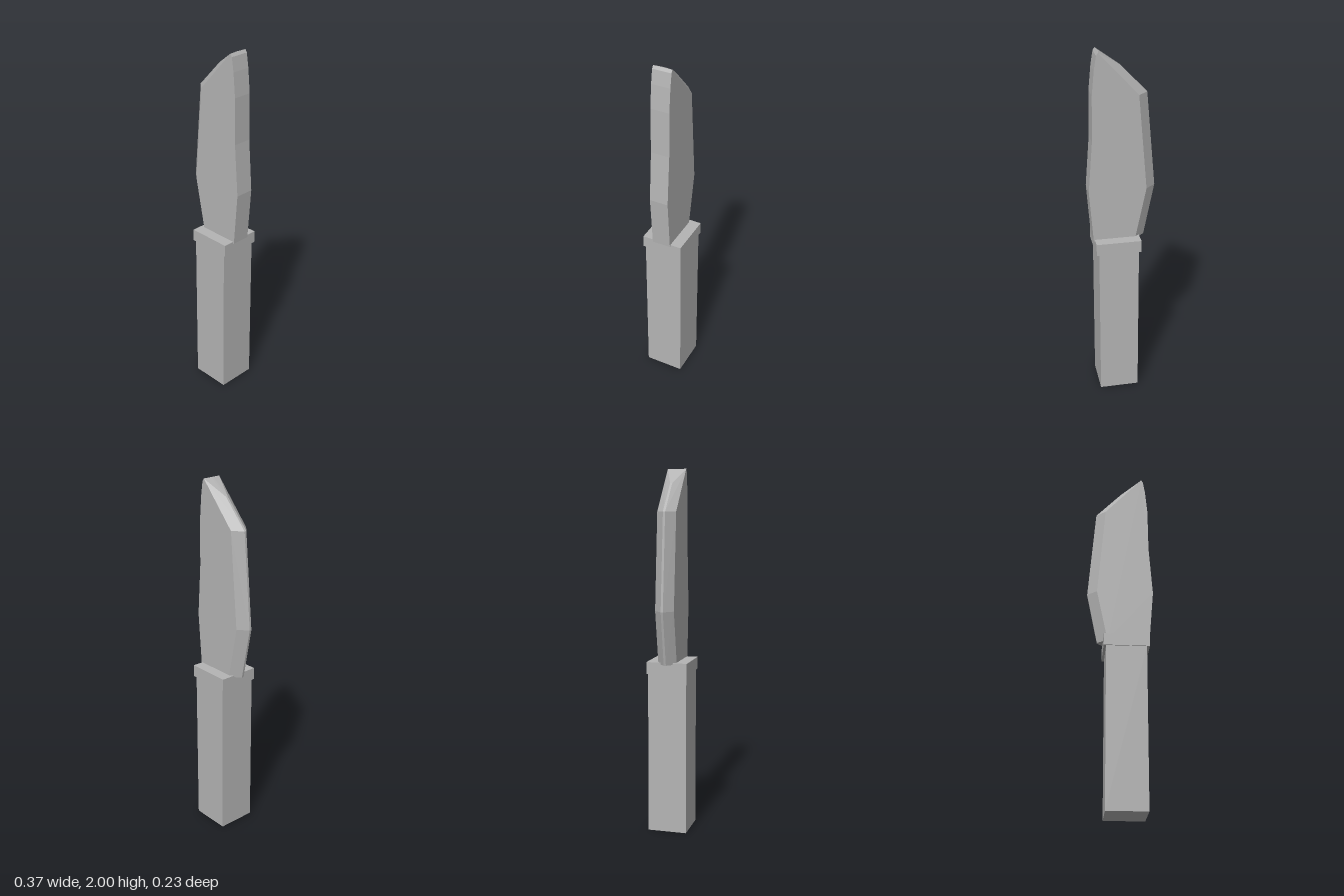
import * as THREE from 'three';

const steel = new THREE.MeshStandardMaterial({ color: 0xb4b4b4 });
steel.name = 'plain grey';
steel.flatShading = true;

// Box given by its limits, centred on z = 0
function block(name, x0, x1, y0, y1, depth) {
  const mesh = new THREE.Mesh(new THREE.BoxGeometry(x1 - x0, y1 - y0, depth), steel);
  mesh.position.set((x0 + x1) / 2, (y0 + y1) / 2, 0);
  mesh.name = name;
  return mesh;
}

function bladeGeometry() {
  const T = 0.052; // half thickness of the body
  const E = 0.006; // half thickness of the cutting edge
  // Border of the flat side, and the cutting edge beside it, from guard to tip
  const border = [[-0.07, 0.95], [-0.13, 1.245], [-0.085, 1.77], [0.125, 2], [0.125, 2]];
  const edge = [[-0.125, 0.95], [-0.183, 1.245], [-0.137, 1.77], [0.005, 1.92], [0.115, 1.997]];
  // Blunt spine, from guard to tip
  const spine = [[0.16, 0.95], [0.183, 1.245], [0.162, 1.53], [0.159, 1.78], [0.147, 1.91], [0.135, 1.985]];

  const positions = [];
  const at = ([x, y], z) => [x, y, z];
  const face = (...p) => {
    for (let i = 1; i < p.length - 1; i++) positions.push(...p[0], ...p[i], ...p[i + 1]);
  };

  // Flat sides
  const outline = [border[0], ...spine, border[3], border[2], border[1]];
  const contour = outline.map(([x, y]) => new THREE.Vector2(x, y));
  for (const [a, b, c] of THREE.ShapeUtils.triangulateShape(contour, [])) {
    face(at(outline[a], T), at(outline[b], T), at(outline[c], T));
    face(at(outline[c], -T), at(outline[b], -T), at(outline[a], -T));
  }

  // Spine up to the tip
  const back = [...spine, border[3]];
  for (let i = 0; i < back.length - 1; i++) {
    const a = back[i], b = back[i + 1];
    face(at(a, T), at(a, -T), at(b, -T), at(b, T));
  }

  // Bevels on both sides and the narrow cutting edge between them
  for (let i = 0; i < edge.length - 1; i++) {
    const f = border[i], g = border[i + 1], e = edge[i], h = edge[i + 1];
    face(at(e, E), at(f, T), at(g, T), at(h, E));
    face(at(e, -E), at(h, -E), at(g, -T), at(f, -T));
    face(at(e, E), at(h, E), at(h, -E), at(e, -E));
  }

  // Tip and underside
  face(at(edge[4], E), at(border[3], T), at(border[3], -T), at(edge[4], -E));
  face(at(border[0], T), at(edge[0], E), at(edge[0], -E), at(border[0], -T), at(spine[0], -T), at(spine[0], T));

  const geometry = new THREE.BufferGeometry();
  geometry.setAttribute('position', new THREE.Float32BufferAttribute(positions, 3));
  geometry.computeVertexNormals();
  return geometry;
}

export function createModel() {
  const knife = new THREE.Group();
  knife.name = 'knife';
  const blade = new THREE.Mesh(bladeGeometry(), steel);
  blade.name = 'blade';
  knife.add(
    block('handle', -0.08, 0.14, 0, 0.895, 0.216),
    block('guard', -0.093, 0.155, 0.893, 0.96, 0.227),
    blade
  );
  return knife;
}
